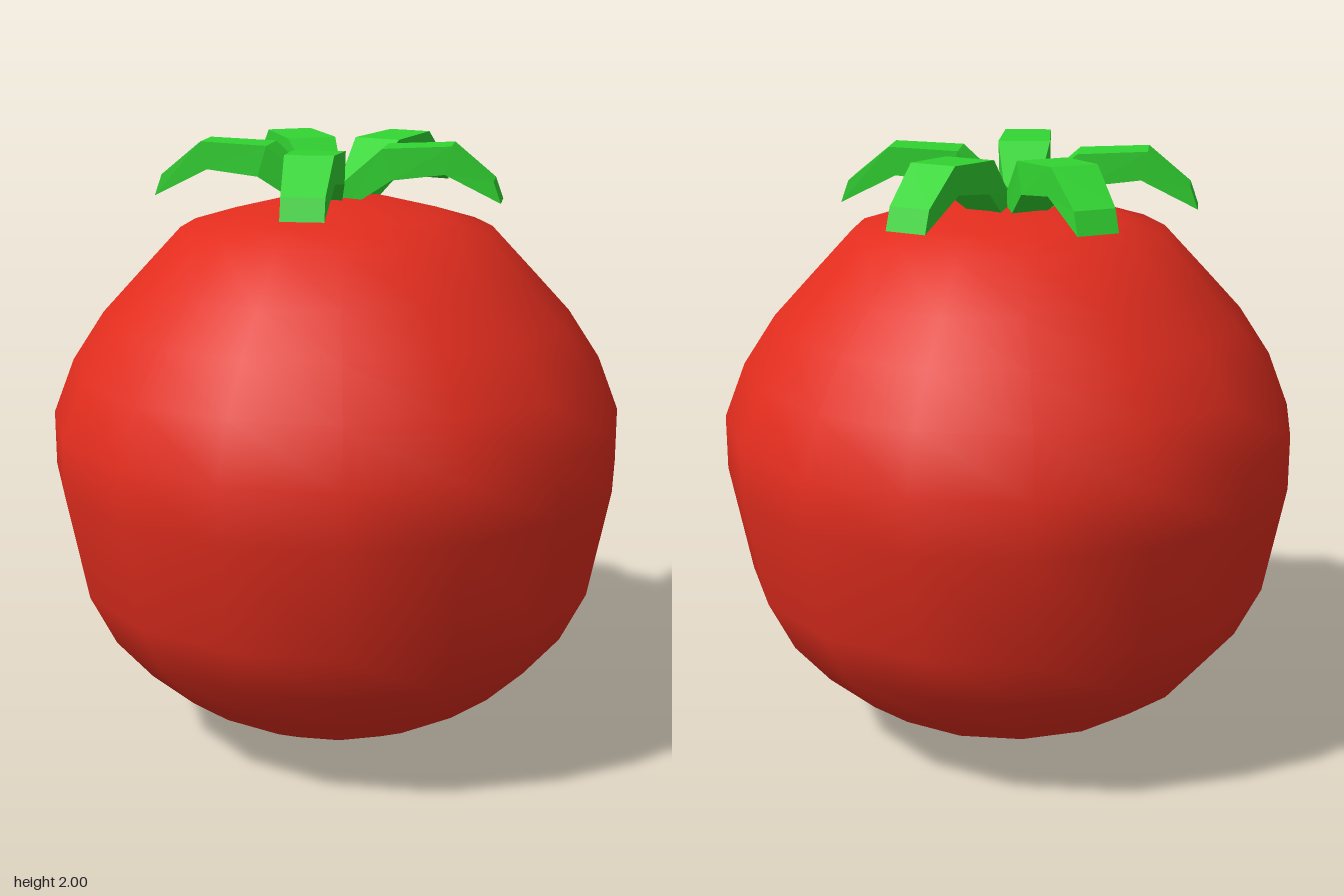
import * as THREE from 'three';

const red = new THREE.MeshStandardMaterial({ color: 0xe22d1e });
const green = new THREE.MeshStandardMaterial({ color: 0x32d532, flatShading: true });

// Round fruit body, sixteen sided, slightly flattened on top
function makeFruit() {
  const profile = [
    [0, 0], [0.18, 0.02], [0.36, 0.07], [0.52, 0.15], [0.67, 0.26], [0.79, 0.4],
    [0.875, 0.57], [0.945, 0.93], [0.945, 1.11], [0.875, 1.29], [0.77, 1.45],
    [0.65, 1.58], [0.51, 1.73], [0.36, 1.775], [0.18, 1.82], [0, 1.83],
  ].map(([r, y]) => new THREE.Vector2(r, y));
  const fruit = new THREE.Mesh(new THREE.LatheGeometry(profile, 16), red);
  fruit.name = 'fruit';
  return fruit;
}

// Bent leaf along +x: four rectangular cross-sections joined by quads
function leafGeometry() {
  // top x, top y, bottom x, bottom y, half width
  const sections = [
    [-0.15, 1.86, -0.12, 1.79, 0.055],
    [0, 1.99, 0.03, 1.89, 0.085],
    [0.22, 2.0, 0.2, 1.91, 0.077],
    [0.355, 1.89, 0.38, 1.82, 0.068],
  ];
  const positions = [];
  const index = [];
  for (const [tx, ty, bx, by, w] of sections) {
    positions.push(tx, ty, w, tx, ty, -w, bx, by, -w, bx, by, w);
  }
  const quad = (a, b, c, d) => index.push(a, b, c, a, c, d);
  for (let s = 0; s < sections.length - 1; s++) {
    for (let k = 0; k < 4; k++) {
      const a = s * 4 + k, b = s * 4 + (k + 1) % 4;
      quad(a, a + 4, b + 4, b);
    }
  }
  const e = (sections.length - 1) * 4;
  quad(0, 1, 2, 3);
  quad(e + 3, e + 2, e + 1, e);
  const geometry = new THREE.BufferGeometry();
  geometry.setAttribute('position', new THREE.Float32BufferAttribute(positions, 3));
  geometry.setIndex(index);
  const flat = geometry.toNonIndexed();
  flat.computeVertexNormals();
  return flat;
}

// Crown of five leaves, each placed from its first bend towards its tip
function makeCrown() {
  const crown = new THREE.Group();
  crown.name = 'leafCrown';
  const geometry = leafGeometry();
  const leaves = [
    ['backLeaf', 0.03, -0.28, 0.045, -0.65],
    ['backLeftLeaf', 0.22, -0.165, 0.545, -0.385],
    ['frontLeftLeaf', 0.145, 0.06, 0.465, 0.26],
    ['frontRightLeaf', -0.105, 0.1, -0.3, 0.425],
    ['backRightLeaf', -0.16, -0.17, -0.47, -0.37],
  ];
  for (const [name, x, z, tipX, tipZ] of leaves) {
    const leaf = new THREE.Mesh(geometry, green);
    leaf.name = name;
    leaf.position.set(x, 0, z);
    leaf.rotation.y = -Math.atan2(tipZ - z, tipX - x);
    crown.add(leaf);
  }
  return crown;
}

export function createModel() {
  const model = new THREE.Group();
  model.name = 'tomato';
  model.add(makeFruit(), makeCrown());
  return model;
}
